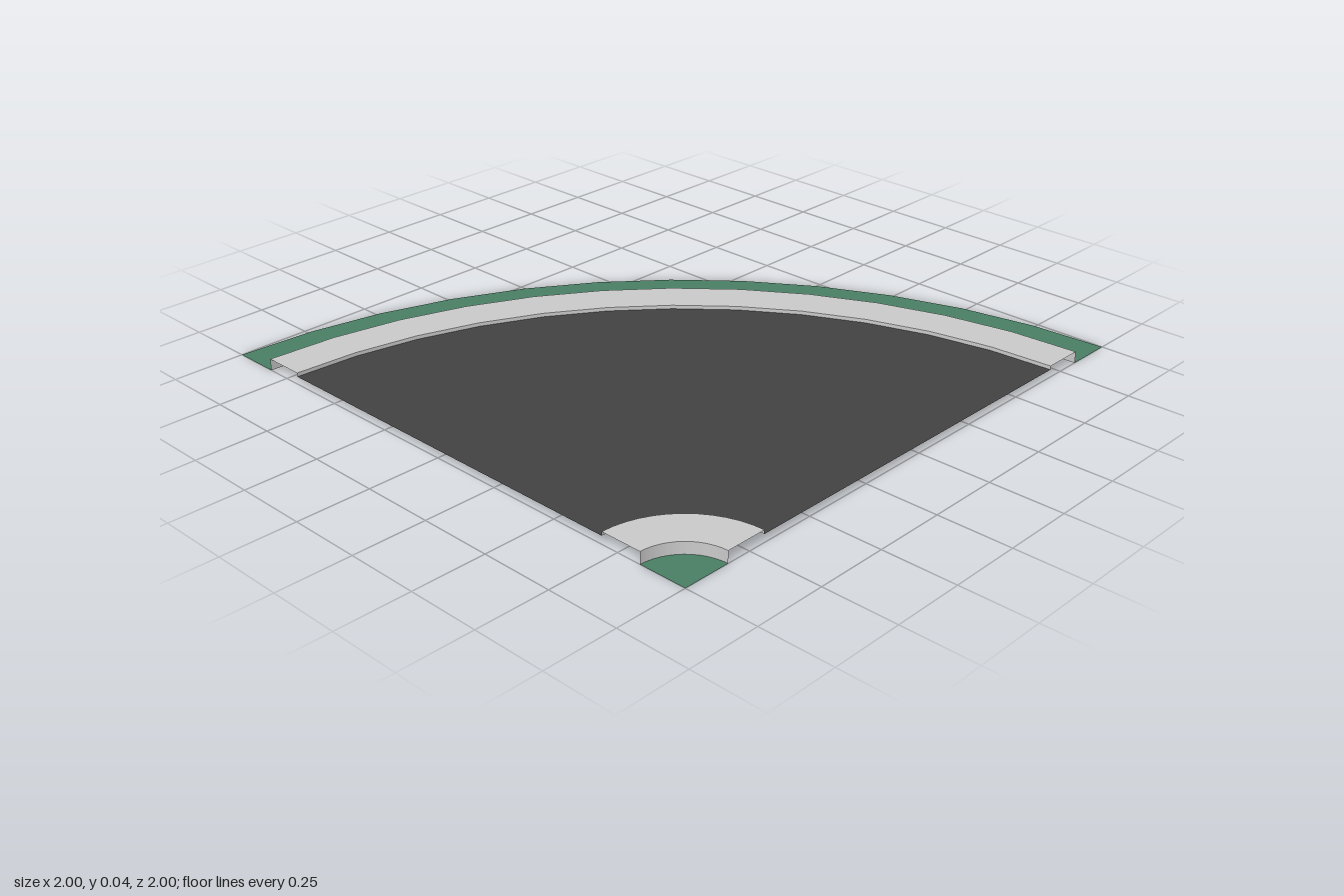
import * as THREE from 'three';

const GRASS = 0x498064, ROAD = 0x424242, KERB = 0xcccccc;

export function createModel() {
  const group = new THREE.Group();
  group.name = 'curvedRoadTile';

  const material = (color) => new THREE.MeshStandardMaterial({ color, side: THREE.DoubleSide });
  const grass = material(GRASS), road = material(ROAD), kerb = material(KERB);

  const kerbTop = 0.04, roadY = 0.027;

  // Quarter-turn strip between consecutive profile points [radius, height]
  function strip(parent, name, mat, from, to) {
    const points = [from, to].map(([r, y]) => new THREE.Vector2(r, y));
    const mesh = new THREE.Mesh(new THREE.LatheGeometry(points, 12, Math.PI, Math.PI / 2), mat);
    mesh.name = name;
    mesh.position.set(1, 0, 1);
    parent.add(mesh);
  }

  // Open kerb shell: separate strips keep its edges sharp
  function addKerb(name, profile) {
    const part = new THREE.Group();
    part.name = name;
    ['OuterWall', 'Top', 'InnerWall'].forEach((side, i) =>
      strip(part, name + side, kerb, profile[i], profile[i + 1]));
    group.add(part);
  }

  // Cross-section from the outer verge in to the centre of the bend
  strip(group, 'outerVerge', grass, [2, 0], [1.835, 0]);
  addKerb('outerKerb', [[1.835, 0], [1.835, kerbTop], [1.69, kerbTop], [1.69, roadY]]);
  strip(group, 'roadSurface', road, [1.69, roadY], [0.31, roadY]);
  addKerb('innerKerb', [[0.31, roadY], [0.31, kerbTop], [0.165, kerbTop], [0.165, 0]]);
  strip(group, 'innerVerge', grass, [0.165, 0], [0, 0]);

  return group;
}
